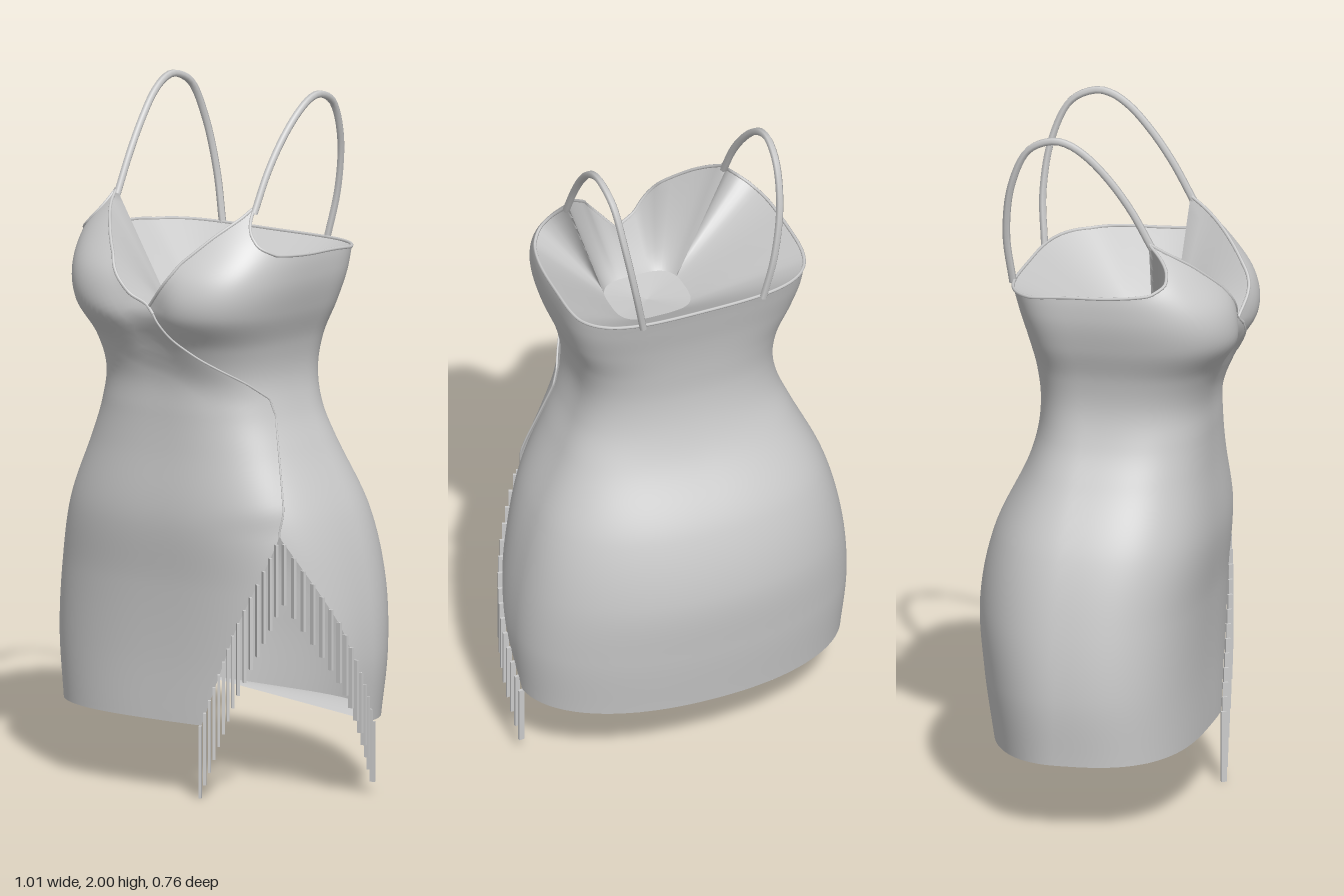
import * as THREE from 'three';

const fabric = new THREE.MeshStandardMaterial({ color: 0xcccccc, side: THREE.DoubleSide });
const HEM = 0.208, APEX = 0.77;

// Body cross-sections: y, half width, front z, back z, z of widest point, front and back roundness
const SECTIONS = [
  [0.20, 0.485, 0.27, -0.33, -0.06, 0.70, 0.93],
  [0.40, 0.502, 0.27, -0.36, -0.06, 0.70, 0.93],
  [0.60, 0.485, 0.28, -0.375, -0.06, 0.70, 0.92],
  [0.80, 0.437, 0.30, -0.335, -0.05, 0.70, 0.88],
  [1.00, 0.348, 0.288, -0.24, -0.03, 0.70, 0.82],
  [1.10, 0.308, 0.285, -0.21, -0.02, 0.70, 0.80],
  [1.20, 0.290, 0.288, -0.20, -0.02, 0.70, 0.75],
  [1.30, 0.303, 0.322, -0.208, -0.02, 0.66, 0.70],
  [1.40, 0.338, 0.382, -0.225, -0.03, 0.60, 0.63],
  [1.50, 0.360, 0.372, -0.25, -0.03, 0.60, 0.57],
  [1.60, 0.353, 0.298, -0.275, -0.03, 0.60, 0.55],
  [1.70, 0.290, 0.205, -0.28, -0.03, 0.60, 0.55],
];
// Edge of the outer wrap panel, and of the panel beneath it: y, x, z
const WRAP = [[0.77, 0.365, 0.20], [1.1, 0.30, 0.14], [1.15, 0.285, 0.15], [1.2, 0.24, 0.205], [1.27, 0.145, 0.28], [1.33, 0.07, 0.335], [1.4, 0, 0.34]];
const OUTER = [[0.2, 0.14, 0.27], [0.5, 0.26, 0.26], ...WRAP, [1.55, -0.12, 0.34], [1.63, -0.185, 0.25], [1.7, -0.25, 0.155]];
const INNER = [[0.2, 0.48, -0.08], [0.5, 0.47, 0.06], ...WRAP, [1.55, 0.12, 0.34], [1.63, 0.185, 0.25], [1.7, 0.25, 0.155]];
// Height of the upper edge by distance from the strap joint
const TOP = [[0, 1.7], [0.03, 1.672], [0.07, 1.635], [0.11, 1.6], [0.16, 1.575], [0.3, 1.55], [0.5, 1.545]];

// Row of a table at t, by straight or smooth interpolation
function sample(table, t, smooth) {
  let i = 0;
  while (i < table.length - 2 && t > table[i + 1][0]) i++;
  const a = table[i], b = table[i + 1], p = table[Math.max(i - 1, 0)], n = table[Math.min(i + 2, table.length - 1)];
  const h = b[0] - a[0], k = THREE.MathUtils.clamp((t - a[0]) / h, 0, 1);
  return a.map((v, c) => {
    if (!smooth) return v + (b[c] - v) * k;
    const m0 = h * (b[c] - p[c]) / (b[0] - p[0]), m1 = h * (n[c] - v) / (n[0] - a[0]);
    const k2 = k * k, k3 = k2 * k;
    return (2 * k3 - 3 * k2 + 1) * v + (k3 - 2 * k2 + k) * m0 + (3 * k2 - 2 * k3) * b[c] + (k3 - k2) * m1;
  });
}

const power = (v, e) => Math.sign(v) * Math.abs(v) ** e;

// Point on the body at an angle measured from the front towards +x
function bodyPoint(angle, y, grow) {
  const [, w, zf, zb, zc, pf, pb] = sample(SECTIONS, y, true);
  const s = Math.sin(angle), c = Math.cos(angle), p = c > 0 ? pf : pb;
  const x = (w + grow) * power(s, p);
  let z = zc + ((c > 0 ? zf - zc : zc - zb) + grow) * power(c, p);
  // Hollow between the cups
  if (c > 0) z -= 0.04 * Math.exp(-((x / 0.08) ** 2) - ((y - 1.43) / 0.12) ** 2);
  return new THREE.Vector3(x, y, z);
}

function edgeAngle(table, y) {
  const [, x, z] = sample(table, y);
  const [, w, zf, zb, zc, pf, pb] = sample(SECTIONS, y, true);
  const front = z > zc, p = front ? pf : pb, d = front ? zf - zc : zc - zb;
  return Math.atan2(power(x / w, 1 / p), power((z - zc) / d, 1 / p));
}

// u runs from the under panel round the back to the outer panel
function dressPoint(u, y) {
  const a = edgeAngle(INNER, y), b = edgeAngle(OUTER, y) + Math.PI * 2;
  const { smoothstep } = THREE.MathUtils;
  const wrap = smoothstep(y, APEX, APEX + 0.08) * (1 - smoothstep(y, 1.36, 1.46));
  const lift = smoothstep(u, 0.88, 1) * wrap;
  return bodyPoint(a + (b - a) * u + 0.04 * lift, y, 0.008 * lift);
}

const topHeight = (u) => sample(TOP, Math.min(u, 1 - u))[1];

// Whole upper edge, from the bottom of the neckline round the back and down again
function openingPoint(t) {
  if (t < 0.12) return dressPoint(0, 1.4 + 0.3 * t / 0.12);
  if (t > 0.88) return dressPoint(1, 1.4 + 0.3 * (1 - t) / 0.12);
  const u = (t - 0.12) / 0.76;
  return dressPoint(u, topHeight(u));
}

function gridGeometry(cols, rows, pointAt) {
  const pos = [], index = [];
  for (let j = 0; j <= rows; j++) {
    for (let i = 0; i <= cols; i++) {
      pos.push(...pointAt(i / cols, j / rows).toArray());
      if (i < cols && j < rows) {
        const a = j * (cols + 1) + i, c = a + cols + 1;
        index.push(a, a + 1, c + 1, a, c + 1, c);
      }
    }
  }
  const g = new THREE.BufferGeometry();
  g.setAttribute('position', new THREE.Float32BufferAttribute(pos, 3));
  g.setIndex(index);
  g.computeVertexNormals();
  return g;
}

export function createModel() {
  const group = new THREE.Group();
  const add = (name, geometry, parent = group) => {
    const mesh = new THREE.Mesh(geometry, fabric);
    mesh.name = name;
    parent.add(mesh);
    return mesh;
  };
  const addTube = (name, points, radius, segments) =>
    add(name, new THREE.TubeGeometry(new THREE.CatmullRomCurve3(points), segments, radius, 6));
  const line = (n, f) => Array.from({ length: n + 1 }, (_, i) => f(i / n));

  // Dress shell with the slit and the crossed neckline
  add('dressBody', gridGeometry(120, 100, (u, v) => dressPoint(u, HEM + (topHeight(u) - HEM) * v)));

  // Underside, drawn in from the hem to one point
  add('hemLining', gridGeometry(90, 6, (u, v) => new THREE.Vector3(-0.12, 0.28, -0.05).lerp(dressPoint(u, HEM), v)));

  // Bodice lining, narrowing from the upper edge to a small rounded floor
  const floorPoint = (t) => {
    const p = openingPoint(t), a = Math.atan2(p.x - 0.02, p.z - 0.07);
    return new THREE.Vector3(0.035 + 0.115 * power(Math.sin(a), 0.6), 1.375, 0.075 + 0.1 * power(Math.cos(a), 0.6));
  };
  add('bodiceLining', gridGeometry(100, 8, (t, v) => floorPoint(t).lerp(openingPoint(t), v)));
  add('liningFloor', gridGeometry(100, 2, (t, v) => new THREE.Vector3(0.035, 1.36, 0.075).lerp(floorPoint(t), v)));

  // Binding along the upper edge and the wrap
  addTube('upperBinding', line(100, openingPoint), 0.005, 220);
  addTube('wrapBinding', line(40, (t) => dressPoint(1, APEX + (1.4 - APEX) * t)), 0.003, 120);

  // Shoulder straps
  for (const side of [1, -1]) {
    const path = [
      [0.243, 1.685, 0.16], [0.245, 1.795, 0.098], [0.25, 1.885, 0.032], [0.256, 1.95, -0.032], [0.258, 1.982, -0.085],
      [0.258, 1.988, -0.13], [0.252, 1.955, -0.2], [0.24, 1.845, -0.253], [0.215, 1.69, -0.274], [0.185, 1.54, -0.262],
    ].map(([x, y, z]) => new THREE.Vector3(side * x + 0.006, y, z));
    addTube(side > 0 ? 'leftStrap' : 'rightStrap', path, 0.011, 48);
  }

  // Fringe hanging from both edges of the slit
  const fringe = new THREE.Group();
  fringe.name = 'slitFringe';
  group.add(fringe);
  const strand = new THREE.BoxGeometry(0.008, 1, 0.016);
  const count = 15;
  for (const u of [0, 1]) {
    for (let i = 0; i < count; i++) {
      const top = dressPoint(u, HEM + (APEX - 0.02 - HEM) * (i / (count - 1)));
      const length = u ? 0.208 : 0.175;
      const mesh = add('fringeStrand', strand, fringe);
      mesh.scale.y = length;
      mesh.position.set(top.x * 1.01, top.y - length / 2, top.z * 1.03);
      mesh.rotation.y = Math.atan2(top.x, top.z);
    }
  }
  return group;
}
